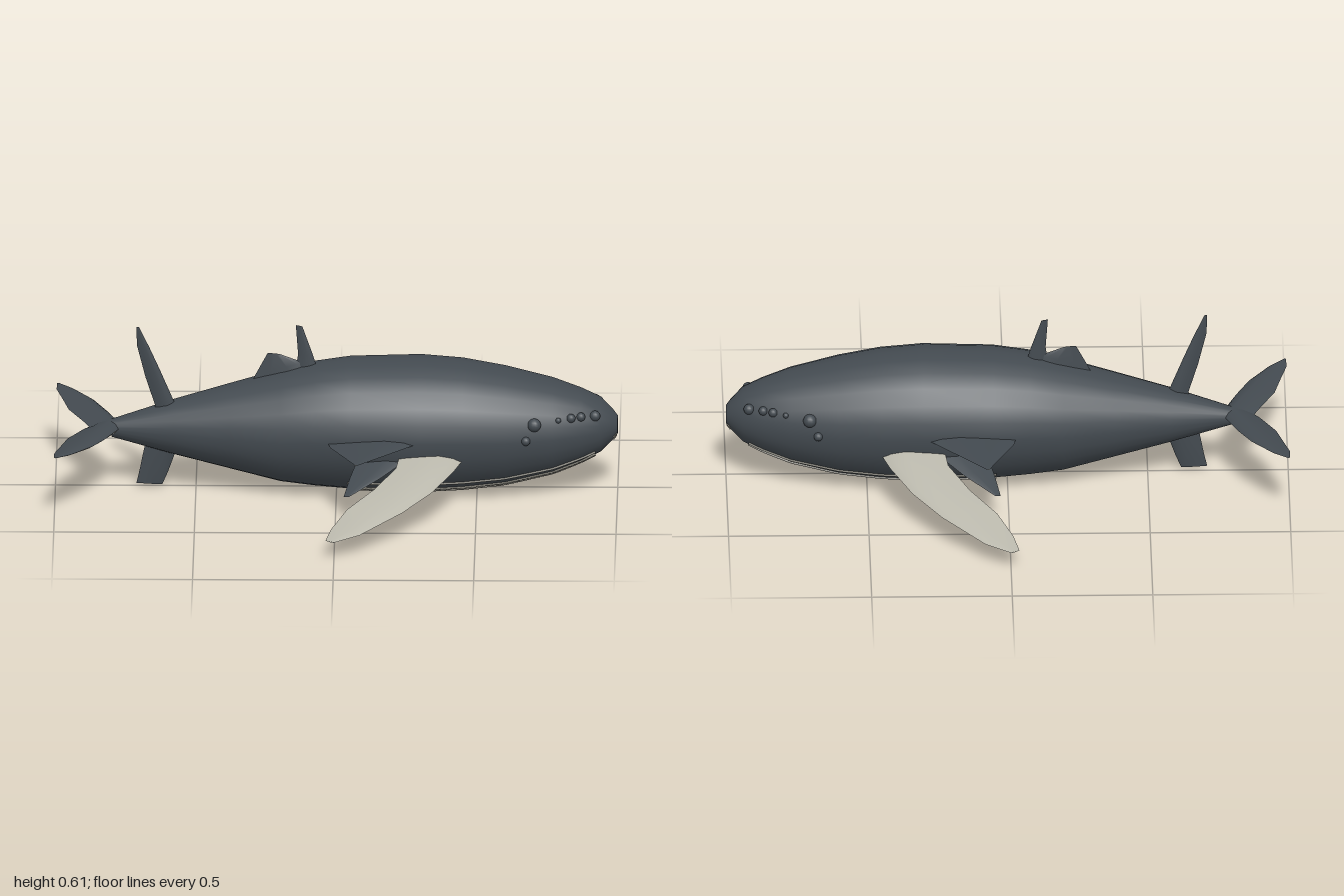
import * as THREE from 'three';

const mat = (name, color, side = THREE.DoubleSide) => {
  const m = new THREE.MeshStandardMaterial({ color, side });
  m.name = name;
  return m;
};

// Body stations: x, centre height, radius
const BODY = [
  [-0.8, 0.222, 0.032], [-0.58, 0.228, 0.098], [-0.38, 0.232, 0.152], [-0.2, 0.235, 0.2],
  [-0.08, 0.243, 0.222], [0.05, 0.247, 0.237], [0.3, 0.248, 0.243], [0.45, 0.246, 0.233],
  [0.6, 0.241, 0.211], [0.77, 0.24, 0.17], [0.87, 0.242, 0.132], [0.94, 0.244, 0.098],
  [0.985, 0.243, 0.052], [1.0, 0.243, 0.032],
];

// Point on the skin; angle is measured from straight down, towards +z
function skin(x, angle, lift = 0) {
  let i = 0;
  while (i < BODY.length - 2 && x > BODY[i + 1][0]) i++;
  const [a, b] = [BODY[i], BODY[i + 1]];
  const t = (x - a[0]) / (b[0] - a[0]);
  const y = THREE.MathUtils.lerp(a[1], b[1], t);
  const r = THREE.MathUtils.lerp(a[2], b[2], t) + lift;
  return new THREE.Vector3(x, y - r * Math.cos(angle), r * Math.sin(angle));
}

// Smooth surface through equally long rows of points
function surface(rows) {
  const n = rows[0].length, index = [];
  for (let i = 0; i < rows.length - 1; i++) {
    for (let j = 0; j < n - 1; j++) {
      const a = i * n + j, b = a + n;
      index.push(a, b, a + 1, b, b + 1, a + 1);
    }
  }
  const g = new THREE.BufferGeometry().setFromPoints(rows.flat());
  g.setIndex(index);
  g.computeVertexNormals();
  return g;
}

// Fin with a lens section: stations are [leading point, trailing point, thickness]
function fin(name, stations, axis, matA, matB, side = 1) {
  const group = new THREE.Group();
  group.name = name;
  const profile = [[0, 0], [0.12, 0.65], [0.35, 1], [0.7, 0.6], [1, 0]];
  [[1, matA, 'FirstFace'], [-1, matB, 'SecondFace']].forEach(([sign, material, label]) => {
    const rows = stations.map(([lead, trail, thick]) => profile.map(([t, h]) => {
      const p = new THREE.Vector3(...lead).lerp(new THREE.Vector3(...trail), t);
      p[axis] += sign * h * thick / 2;
      p.z *= side;
      return p;
    }));
    const mesh = new THREE.Mesh(surface(rows), material);
    mesh.name = name + label;
    group.add(mesh);
  });
  return group;
}

export function createModel() {
  const whale = new THREE.Group();
  whale.name = 'whale';
  const dark = mat('slate skin', 0x434a50);
  const pale = mat('pale fin', 0xbab8ac);
  const ridge = mat('throat ridge', 0x85837a);

  const add = (name, geometry, material, parent = whale) => {
    const mesh = new THREE.Mesh(geometry, material);
    mesh.name = name;
    parent.add(mesh);
    return mesh;
  };

  // Body and its two flat ends
  const SEG = 24;
  const rings = BODY.map(([x]) =>
    Array.from({ length: SEG + 1 }, (_, j) => skin(x, (j / SEG) * Math.PI * 2)));
  add('body', surface(rings), dark);
  [[BODY[0], -1, 'tailEnd'], [BODY[BODY.length - 1], 1, 'noseTip']].forEach(([[x, y, r], s, name]) => {
    const cap = add(name, new THREE.CircleGeometry(r, SEG), dark);
    cap.position.set(x, y, 0);
    cap.rotation.y = s * Math.PI / 2;
  });

  // Paired fins
  const pectoral = [
    [[0.46, 0.18, 0.18], [0.23, 0.2, 0.18], 0.045],
    [[0.42, 0.168, 0.3], [0.215, 0.18, 0.3], 0.042],
    [[0.345, 0.138, 0.44], [0.14, 0.15, 0.44], 0.036],
    [[0.24, 0.11, 0.58], [0.045, 0.12, 0.57], 0.027],
    [[0.09, 0.08, 0.735], [-0.01, 0.085, 0.68], 0.016],
    [[0.0, 0.07, 0.785], [-0.03, 0.072, 0.77], 0.004],
  ];
  const sideFin = [
    [[0.31, 0.243, 0.2], [-0.03, 0.243, 0.2], 0.034],
    [[0.26, 0.245, 0.26], [-0.02, 0.245, 0.27], 0.03],
    [[0.16, 0.252, 0.39], [0.03, 0.252, 0.39], 0.018],
    [[0.08, 0.26, 0.5], [0.07, 0.26, 0.495], 0.002],
  ];
  const lowerFin = [
    [[0.27, 0.185, 0.19], [0.08, 0.18, 0.19], 0.03],
    [[0.16, 0.145, 0.31], [0.05, 0.14, 0.3], 0.018],
    [[0.05, 0.107, 0.4], [0.03, 0.105, 0.395], 0.003],
  ];
  const fluke = [
    [[-0.76, 0.23, 0.0], [-0.88, 0.225, 0.0], 0.05],
    [[-0.78, 0.23, 0.05], [-0.9, 0.23, 0.04], 0.045],
    [[-0.82, 0.233, 0.15], [-0.955, 0.235, 0.155], 0.034],
    [[-0.865, 0.238, 0.245], [-0.975, 0.24, 0.24], 0.026],
    [[-0.94, 0.244, 0.35], [-1.0, 0.245, 0.34], 0.012],
    [[-0.993, 0.248, 0.4], [-1.0, 0.248, 0.395], 0.002],
  ];
  [[1, 'front'], [-1, 'back']].forEach(([s, label]) => {
    whale.add(fin(label + 'Pectoral', pectoral, 'y', pale, pale, s));
    whale.add(fin(label + 'SideFin', sideFin, 'y', dark, pale, s));
    whale.add(fin(label + 'LowerFin', lowerFin, 'y', dark, dark, s));
    whale.add(fin(label + 'Fluke', fluke, 'y', dark, pale, s));
  });

  // Upright fins on the back and tail
  const upright = (name, z, stations) => whale.add(fin(name,
    stations.map(([lx, ly, tx, ty, t, dz = 0]) => [[lx, ly, z + dz], [tx, ty, z + dz], t]), 'z', dark, dark));
  upright('dorsalSpike', -0.005, [
    [-0.06, 0.42, -0.15, 0.42, 0.026], [-0.085, 0.5, -0.137, 0.5, 0.02],
    [-0.122, 0.605, -0.145, 0.61, 0.004]]);
  upright('dorsalHump', -0.005, [
    [-0.1, 0.42, -0.31, 0.38, 0.03], [-0.12, 0.47, -0.285, 0.43, 0.024],
    [-0.2, 0.5, -0.245, 0.505, 0.004]]);
  upright('upperTailFin', 0.01, [
    [-0.56, 0.28, -0.65, 0.25, 0.035], [-0.58, 0.33, -0.645, 0.31, 0.03],
    [-0.63, 0.45, -0.68, 0.42, 0.02, 0.005], [-0.665, 0.53, -0.71, 0.54, 0.012, 0.008],
    [-0.703, 0.61, -0.712, 0.61, 0.002, 0.01]]);
  upright('lowerTailFin', 0.01, [
    [-0.555, 0.18, -0.67, 0.2, 0.035], [-0.575, 0.13, -0.685, 0.147, 0.028],
    [-0.6, 0.06, -0.7, 0.07, 0.016], [-0.62, 0.013, -0.712, 0.018, 0.004]]);

  // Throat ridges following the belly, and short ones under the nose
  const ridgeLine = (name, angle, x0, x1, steps, r) => {
    const pts = Array.from({ length: steps + 1 }, (_, i) =>
      skin(x0 + (x1 - x0) * i / steps, angle, 0.001));
    add(name, new THREE.TubeGeometry(new THREE.CatmullRomCurve3(pts), steps * 2, r, 5), ridge);
  };
  [-44, -31, -17, 17, 31, 44].forEach((deg) =>
    ridgeLine('throatRidge', THREE.MathUtils.degToRad(deg), 0.04, 0.92, 24, 0.005));
  [-50, -30, -10, 10, 30, 50].forEach((deg) =>
    ridgeLine('chinRidge', THREE.MathUtils.degToRad(deg), 0.984, 0.996, 3, 0.003));

  // Rounded bumps on both sides of the head: x, height, radius
  const bumps = [[0.705, 0.3, 0.024], [0.675, 0.245, 0.016], [0.79, 0.308, 0.01],
    [0.835, 0.31, 0.016], [0.87, 0.31, 0.016], [0.92, 0.305, 0.019]];
  const ball = new THREE.SphereGeometry(1, 14, 10);
  for (const s of [1, -1]) {
    for (const [x, y, r] of bumps) {
      const bottom = skin(x, 0), top = skin(x, Math.PI);
      const cy = (bottom.y + top.y) / 2, radius = (top.y - bottom.y) / 2;
      const bump = add('headBump', ball, dark);
      bump.position.set(x, y, s * Math.sqrt(radius ** 2 - (y - cy) ** 2));
      bump.scale.setScalar(r);
    }
  }
  return whale;
}
